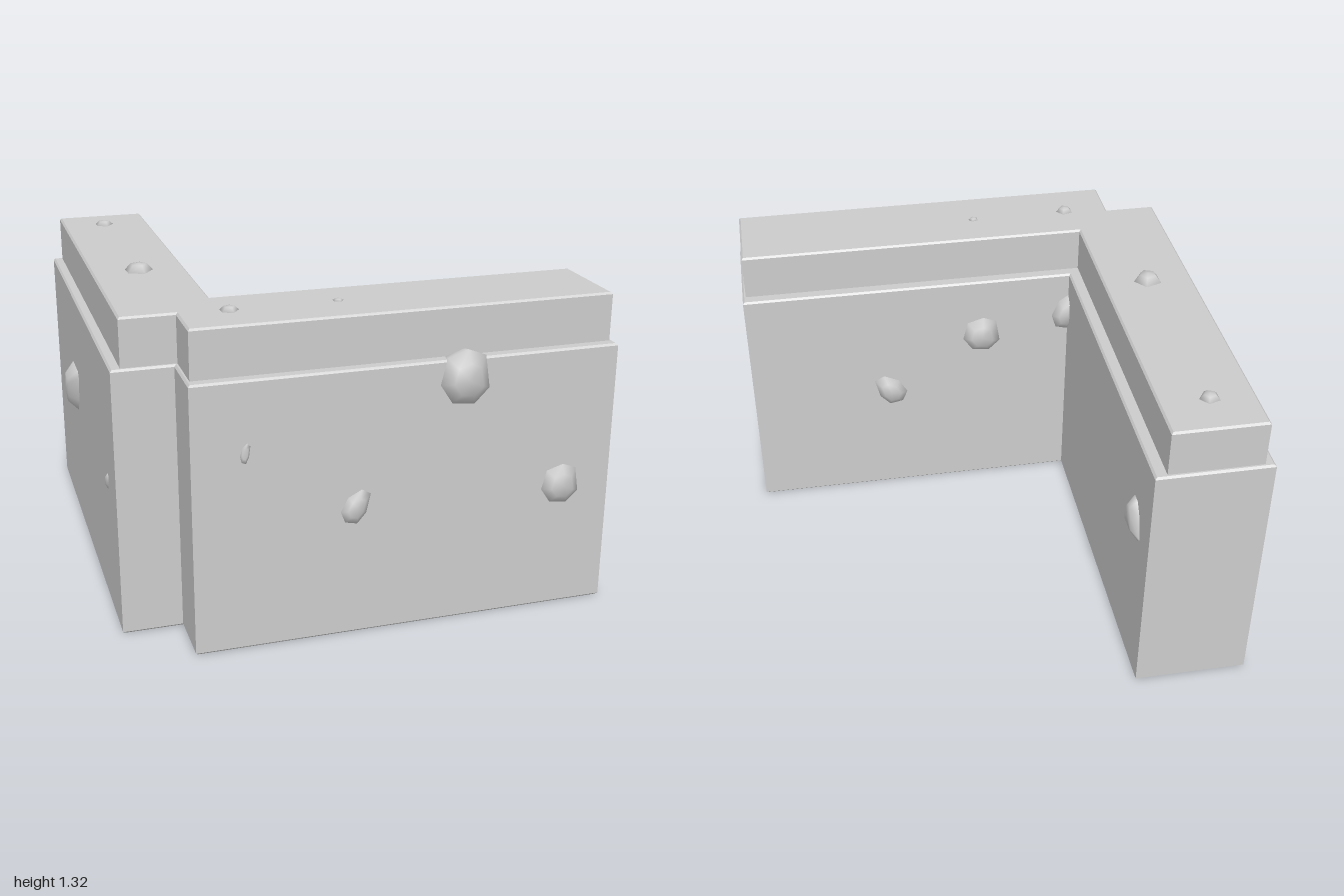
import * as THREE from 'three';

const H = Math.PI / 2;

// Plan outline of an L-shaped course with a notched outer corner, as [x, z]
function course(name, plan, y0, y1) {
  const b = 0.008;
  const shape = new THREE.Shape(plan.map(([x, z]) => new THREE.Vector2(x, -z)));
  const geo = new THREE.ExtrudeGeometry(shape, {
    depth: y1 - y0 - 2 * b, bevelEnabled: true, bevelSize: b, bevelThickness: b,
    bevelOffset: -b, bevelSegments: 1,
  });
  geo.rotateX(-H).translate(0, y0 + b, 0);
  const mesh = new THREE.Mesh(geo, new THREE.MeshStandardMaterial({ color: 0xcccccc }));
  mesh.name = name;
  return mesh;
}

// Counter-clockwise stone outlines, roughly within a unit square
const OUTLINES = {
  chunk: [[0.8, 0.75], [0.1, 1], [-0.75, 0.75], [-1, -0.2], [-0.5, -0.9], [0.4, -1], [1, -0.45]],
  oval: [[1, 0.7], [0.4, 1], [-0.5, 0.6], [-1, -0.2], [-0.7, -0.85], [0.1, -1], [0.7, -0.4]],
  wedge: [[0.25, 0.97], [-0.25, 0.97], [-0.7, 0.4], [-1, -0.75], [-0.8, -1], [0.8, -1], [1, -0.75], [0.7, 0.4]],
  penta: [[1, 0.1], [0.3, 1], [-0.85, 0.6], [-0.8, -0.55], [0.25, -0.95]],
};

// Smooth bulging stone: outline rings shrinking towards a blunt tip
function stoneGeometry(outline, rx, ry, out) {
  const rings = [[-0.05, 0.9], [0, 1], [out * 0.85, 0.58]];
  const n = outline.length, pos = [], idx = [];
  for (const [w, s] of rings) for (const [u, v] of outline) pos.push(u * rx * s, v * ry * s, w);
  pos.push(0, 0, out);
  for (let i = 0; i < n; i++) {
    const j = (i + 1) % n;
    for (let r = 0; r < rings.length - 1; r++) {
      const a = r * n + i, b = r * n + j;
      idx.push(a, b, b + n, a, b + n, a + n);
    }
    const t = (rings.length - 1) * n;
    idx.push(t + i, t + j, rings.length * n);
  }
  const geo = new THREE.BufferGeometry();
  geo.setAttribute('position', new THREE.Float32BufferAttribute(pos, 3));
  geo.setIndex(idx);
  geo.computeVertexNormals();
  return geo;
}

// Rotation that turns a stone's tip outwards from each wall face
const FACING = {
  front: [0, 0, 0], back: [0, Math.PI, 0], outerSide: [0, -H, 0], innerSide: [0, H, 0], top: [-H, 0, 0],
};

// facing, outline, centre x y z, half width, half height, how far it sticks out
const STONES = [
  ['front', 'chunk', 0.355, 1.02, 0.95, 0.1, 0.11, 0.045],
  ['front', 'oval', -0.075, 0.54, 0.95, 0.06, 0.07, 0.02],
  ['front', 'chunk', 0.78, 0.53, 0.95, 0.08, 0.083, 0.03],
  ['front', 'oval', -0.505, 0.81, 0.95, 0.02, 0.04, 0.003],
  ['outerSide', 'wedge', -0.95, 0.66, -0.355, 0.095, -0.1, 0.05],
  ['outerSide', 'oval', -0.95, 0.57, 0.5, 0.03, 0.035, 0.01],
  ['innerSide', 'wedge', -0.48, 0.745, -0.785, 0.085, 0.085, 0.035],
  ['back', 'oval', 0.355, 0.55, 0.48, -0.075, 0.08, 0.03],
  ['back', 'chunk', -0.075, 0.815, 0.48, 0.085, 0.088, 0.035],
  ['back', 'oval', -0.47, 0.9, 0.48, 0.065, 0.095, 0.04],
  ['top', 'penta', -0.73, 1.29, -0.785, 0.042, 0.042, 0.02],
  ['top', 'penta', -0.72, 1.29, 0.07, 0.06, 0.06, 0.033],
  ['top', 'penta', -0.5, 1.29, 0.72, 0.038, 0.038, 0.018],
  ['top', 'penta', -0.075, 1.29, 0.71, 0.022, 0.022, 0.008],
];

export function createModel() {
  const model = new THREE.Group();
  model.name = 'cornerWall';

  // Main wall and the narrower course along its top
  model.add(course('wallBody', [[-0.95, -0.99], [-0.95, 0.71], [-0.71, 0.71], [-0.71, 0.95],
    [0.99, 0.95], [0.99, 0.48], [-0.48, 0.48], [-0.48, -0.99]], 0, 1.095));
  model.add(course('wallCap', [[-0.91, -0.975], [-0.91, 0.695], [-0.695, 0.695], [-0.695, 0.905],
    [0.975, 0.905], [0.975, 0.53], [-0.53, 0.53], [-0.53, -0.975]], 1.08, 1.29));

  // Stones poking out of the faces
  const stones = new THREE.Group();
  stones.name = 'stones';
  STONES.forEach(([facing, kind, x, y, z, rx, ry, out], i) => {
    // A negative size mirrors the outline, so its order is reversed to match
    const outline = rx * ry < 0 ? [...OUTLINES[kind]].reverse() : OUTLINES[kind];
    const stone = new THREE.Mesh(stoneGeometry(outline, rx, ry, out),
      new THREE.MeshStandardMaterial({ color: 0xcccccc }));
    stone.position.set(x, y, z);
    stone.rotation.set(...FACING[facing]);
    stone.name = `${facing}Stone${i + 1}`;
    stones.add(stone);
  });
  model.add(stones);
  return model;
}
